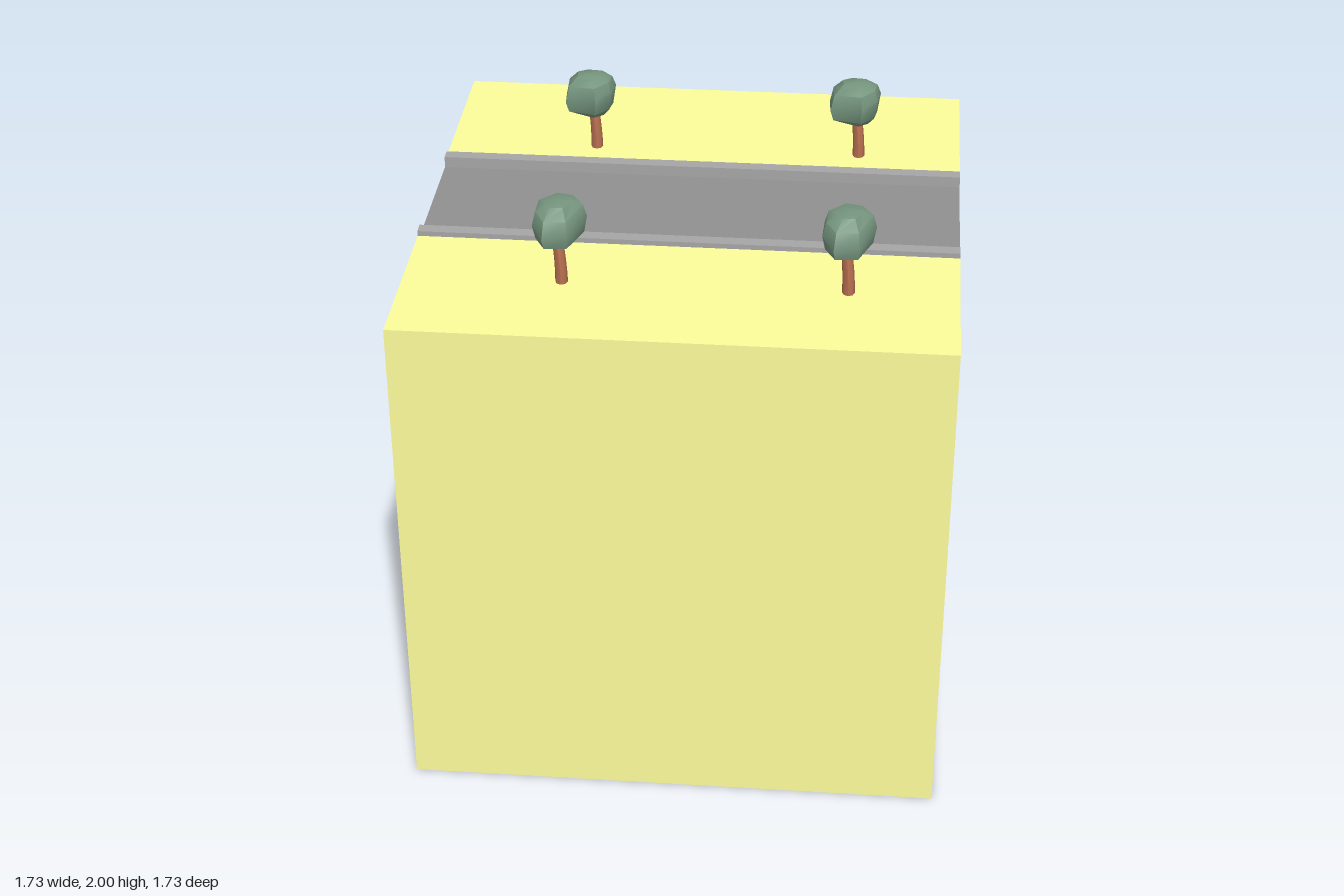
import * as THREE from 'three';
import { toCreasedNormals } from 'three/addons/utils/BufferGeometryUtils.js';

const mat = (color, side = THREE.FrontSide) => new THREE.MeshStandardMaterial({ color, side });
const HALF = 0.865, TOP = 1.73, ROAD = 0.237, ROAD_TOP = 1.71, KERB = 0.28, KERB_TOP = 1.747;

// Low-poly crown: an uneven seven-sided outline repeated at several heights
function crownGeometry() {
  const outline = [[-0.017, -0.085], [0.043, -0.075], [0.083, -0.025], [0.034, 0.08],
    [-0.045, 0.086], [-0.082, 0.025], [-0.077, -0.04]];
  const rings = [[-0.068, 0.62, 0], [-0.05, 0.88, 0.1], [0, 1, 0.3], [0.045, 0.86, 0.15], [0.066, 0.5, 0]];
  const n = outline.length, positions = [], index = [];
  for (const [y, scale, droop] of rings) {
    for (const [x, z] of outline) positions.push(x * scale, y - droop * z, z * scale);
  }
  for (let r = 0; r < rings.length - 1; r++) {
    for (let i = 0; i < n; i++) {
      const a = r * n + i, b = r * n + (i + 1) % n;
      index.push(a, a + n, b, b, a + n, b + n);
    }
  }
  // Closing fans below and above
  const bottom = rings.length * n, last = bottom - n;
  positions.push(0, -0.07, 0, 0, 0.07, 0);
  for (let i = 0; i < n; i++) {
    const j = (i + 1) % n;
    index.push(bottom, i, j, bottom + 1, last + j, last + i);
  }
  const geo = new THREE.BufferGeometry();
  geo.setAttribute('position', new THREE.Float32BufferAttribute(positions, 3));
  geo.setIndex(index);
  return toCreasedNormals(geo, 0.75);
}

// Slightly bent trunk, flared at the foot
function trunkGeometry() {
  const height = 0.16;
  const geo = new THREE.CylinderGeometry(0.017, 0.02, height, 8, 4);
  geo.translate(0, height / 2, 0);
  const p = geo.attributes.position;
  for (let i = 0; i < p.count; i++) {
    const t = p.getY(i) / height;
    p.setX(i, p.getX(i) - 0.012 * t * t);
    p.setZ(i, p.getZ(i) * 1.15 - 0.008 * t * t);
  }
  geo.computeVertexNormals();
  return geo;
}

export function createModel() {
  const model = new THREE.Group();
  const grass = mat(0xfcfc9b, THREE.DoubleSide);
  const asphalt = mat(0x909090, THREE.DoubleSide);
  const stone = mat(0xa6a6a6, THREE.DoubleSide);
  const bark = mat(0xb87050), leaves = mat(0x76967f);

  const panel = (group, width, height, material, position, rx, ry) => {
    const mesh = new THREE.Mesh(new THREE.PlaneGeometry(width, height), material);
    mesh.position.set(...position);
    mesh.rotation.set(rx, ry, 0);
    group.add(mesh);
  };

  // Band across the top and down both ends, hollow and open underneath
  const band = (name, z0, z1, top, material) => {
    const group = new THREE.Group(), z = (z0 + z1) / 2, depth = z1 - z0;
    group.name = name;
    panel(group, 2 * HALF, depth, material, [0, top, z], -Math.PI / 2, 0);
    for (const s of [1, -1]) {
      panel(group, depth, top, material, [s * HALF, top / 2, z], 0, s * Math.PI / 2);
    }
    model.add(group);
    return group;
  };

  // Upright face along the whole length, looking towards dir * z
  const upright = (group, y0, y1, z, dir, material) =>
    panel(group, 2 * HALF, y1 - y0, material, [0, (y0 + y1) / 2, z], 0, dir > 0 ? 0 : Math.PI);

  band('road', -ROAD, ROAD, ROAD_TOP, asphalt);
  for (const s of [1, -1]) {
    const side = s > 0 ? 'front' : 'back';
    const span = (a, b) => (s > 0 ? [a, b] : [-b, -a]);
    const kerb = band(side + 'Kerb', ...span(ROAD, KERB), KERB_TOP, stone);
    upright(kerb, ROAD_TOP, KERB_TOP, s * ROAD, -s, stone);
    upright(kerb, TOP, KERB_TOP, s * KERB, s, stone);
    const ground = band(side + 'Ground', ...span(KERB, HALF), TOP, grass);
    upright(ground, 0, TOP, s * HALF, s, grass);
  }

  // Trees: crown centre x, z, trunk foot x, z, crown turn
  const crownGeo = crownGeometry(), trunkGeo = trunkGeometry();
  const trees = [
    [-0.373, 0.505, -0.368, 0.528, 0],
    [0.517, 0.498, 0.521, 0.522, 0],
    [-0.385, -0.395, -0.366, -0.399, -Math.PI / 2],
    [0.505, -0.405, 0.523, -0.404, -Math.PI / 2],
  ];
  for (const [cx, cz, tx, tz, turn] of trees) {
    const tree = new THREE.Group();
    tree.name = 'tree';
    const trunk = new THREE.Mesh(trunkGeo, bark);
    trunk.name = 'trunk';
    trunk.position.set(tx, TOP - 0.005, tz);
    const crown = new THREE.Mesh(crownGeo, leaves);
    crown.name = 'crown';
    crown.position.set(cx, 1.93, cz);
    crown.rotation.y = turn;
    tree.add(trunk, crown);
    model.add(tree);
  }
  return model;
}
